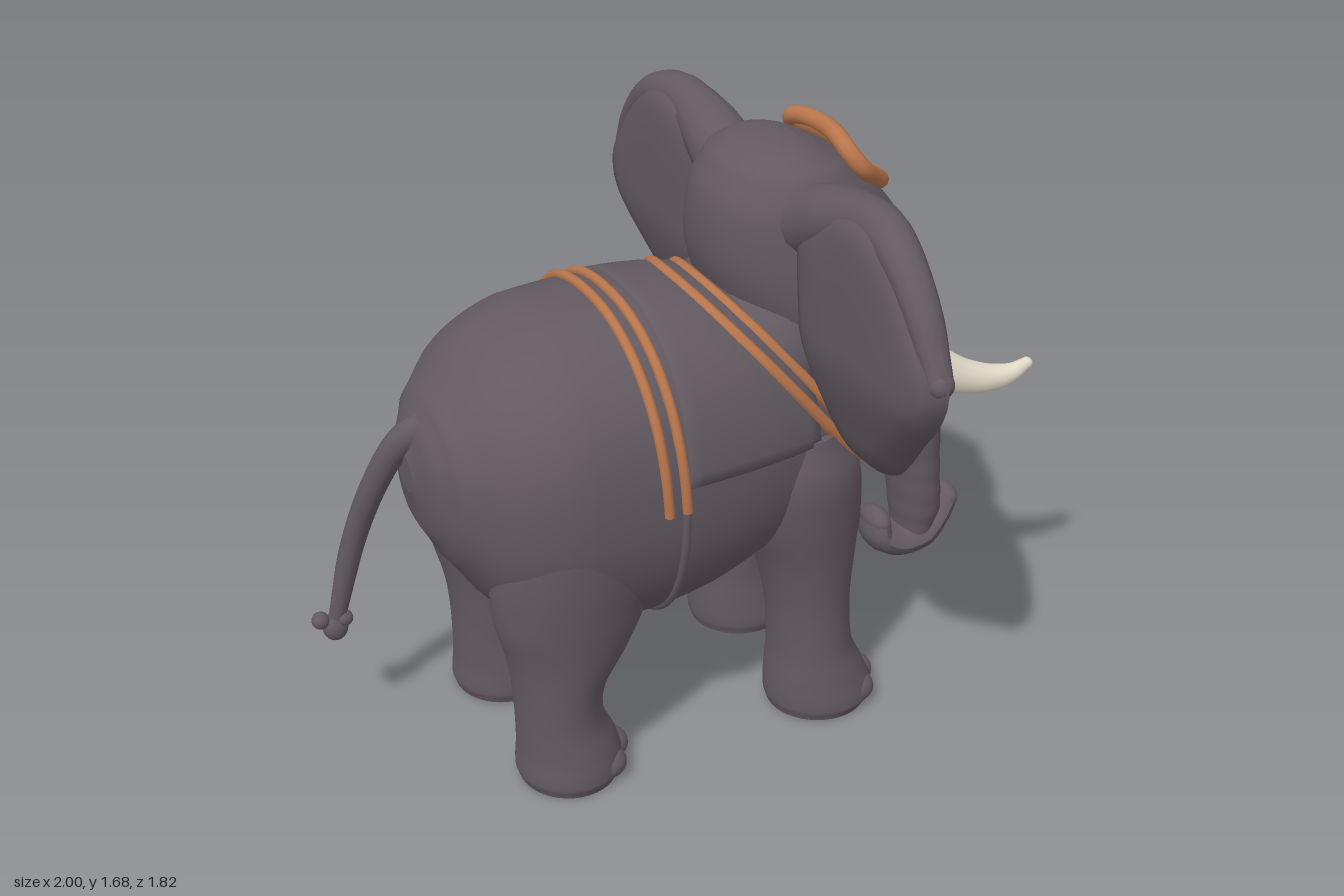
import * as THREE from 'three';

const V = (x, y, z) => new THREE.Vector3(x, y, z);
const mat = (name, color) => Object.assign(new THREE.MeshStandardMaterial({ color }), { name });

// Catmull-Rom resampling of rows of numbers
function resample(rows, steps) {
  const out = [];
  for (let i = 0; i < rows.length - 1; i++) {
    const [a, b, c, d] = [rows[Math.max(i - 1, 0)], rows[i], rows[i + 1], rows[Math.min(i + 2, rows.length - 1)]];
    for (let s = 0; s < steps; s++) {
      const t = s / steps;
      out.push(b.map((_, k) => k === 0 ? b[0] + (c[0] - b[0]) * t
        : b[k] + 0.5 * t * (c[k] - a[k] + t * (2 * a[k] - 5 * b[k] + 4 * c[k] - d[k] + t * (3 * (b[k] - c[k]) + d[k] - a[k])))));
    }
  }
  return [...out, rows[rows.length - 1]];
}

function gridGeometry(pos, rows, cols, wrap, flip) {
  const idx = [];
  for (let i = 0; i < rows - 1; i++) for (let j = 0; j < (wrap ? cols : cols - 1); j++) {
    const k = (j + 1) % cols;
    const [a, b, c, d] = [i * cols + j, (i + 1) * cols + j, i * cols + k, (i + 1) * cols + k];
    if (flip) idx.push(a, c, b, c, d, b); else idx.push(a, b, c, c, b, d);
  }
  const g = new THREE.BufferGeometry();
  g.setAttribute('position', new THREE.Float32BufferAttribute(pos, 3));
  g.setIndex(idx);
  g.computeVertexNormals();
  return g;
}

// Closed loft along x or y; rows are [position, uMin, uMax, vMin, vMax] with rising position
const POWER = 2.3;
function loft(axis, rows, { sides = 40, power = 2, ripple = 0 } = {}) {
  const body = resample(rows, 5).map(([t, a, b, c, d], i) => {
    const k = 1 + ripple * (i % 4 < 2 ? 1 : -1);
    return [t, (a + b) / 2, (b - a) / 2 * k, (c + d) / 2, (d - c) / 2 * k];
  });
  const first = body[0], last = body[body.length - 1], point = r => [r[0], r[1], 0, r[3], 0];
  const rings = [point(first), first, ...body, last, point(last)];
  const pos = [], bend = c => Math.sign(c) * Math.abs(c) ** (2 / power);
  for (const [t, cu, ru, cv, rv] of rings) for (let j = 0; j < sides; j++) {
    const a = j / sides * Math.PI * 2, u = cu + ru * bend(Math.cos(a)), v = cv + rv * bend(Math.sin(a));
    pos.push(...(axis === 'y' ? [u, t, v] : [t, u, -v]));
  }
  return gridGeometry(pos, rings.length, sides, true, false);
}

// Two-faced shell: rings run from the centre to the outline and back behind it
function shell(outline, centre, place, flip) {
  const pos = [], n = 8;
  for (let i = 0; i <= n * 2; i++) {
    const r = i <= n ? i / n : 2 - i / n;
    for (const p of outline) pos.push(...place(centre.clone().lerp(p, r), r, i <= n));
  }
  return gridGeometry(pos, n * 2 + 1, outline.length, true, flip);
}

// Tube whose radius follows a list, widened in z on request
function taperTube(points, radii, { segments = 40, sides = 14, wide = 1, closed = false } = {}) {
  const curve = new THREE.CatmullRomCurve3(points, closed);
  const g = new THREE.TubeGeometry(curve, segments, 1, sides, closed);
  const p = g.attributes.position, v = V();
  for (let i = 0; i < p.count; i++) {
    const t = Math.floor(i / (sides + 1)) / segments, c = curve.getPointAt(t);
    const f = t * (radii.length - 1), k = Math.max(Math.min(Math.floor(f), radii.length - 2), 0);
    v.fromBufferAttribute(p, i).sub(c).multiplyScalar(THREE.MathUtils.lerp(radii[k], radii[k + 1] ?? radii[k], f - k));
    p.setXYZ(i, c.x + v.x, c.y + v.y, c.z + v.z * wide);
  }
  if (wide !== 1) g.computeVertexNormals();
  return g;
}

const symmetric = rows => rows.map(([t, a, b, w]) => [t, a, b, -w, w]);
const BODY = symmetric([[-0.765, 0.85, 0.95, 0.05], [-0.74, 0.74, 1.03, 0.15], [-0.7, 0.66, 1.1, 0.235], [-0.6, 0.52, 1.2, 0.35],
  [-0.5, 0.45, 1.26, 0.405], [-0.4, 0.41, 1.295, 0.425], [-0.2, 0.39, 1.31, 0.425], [0, 0.42, 1.3, 0.41], [0.15, 0.48, 1.26, 0.385],
  [0.3, 0.55, 1.16, 0.345], [0.4, 0.62, 1.04, 0.305], [0.46, 0.69, 0.95, 0.23], [0.49, 0.77, 0.88, 0.1]]);
const BODY_FINE = resample(BODY, 5);

function insideBody({ x, y, z }) {
  const i = BODY_FINE.findIndex(r => r[0] > x);
  if (i < 1) return false;
  const p = BODY_FINE[i - 1], q = BODY_FINE[i], t = (x - p[0]) / (q[0] - p[0]);
  const [, a, b, , w] = p.map((n, k) => n + (q[k] - n) * t);
  return Math.abs((y - (a + b) / 2) / ((b - a) / 2)) ** POWER + Math.abs(z / w) ** POWER < 1;
}

// Point where a ray from within leaves the body
function onBody(origin, dir, offset) {
  let lo = 0, hi = 1;
  for (let i = 0; i < 22; i++) {
    const m = (lo + hi) / 2;
    if (insideBody(origin.clone().addScaledVector(dir, m))) lo = m; else hi = m;
  }
  return origin.clone().addScaledVector(dir, lo + offset);
}

export function createModel() {
  const model = new THREE.Group();
  model.name = 'elephant';
  const hide = mat('grey hide', 0x625961), trim = mat('copper trim', 0xb9764c), ivory = mat('ivory', 0xded7c6);
  const add = (name, geo, m = hide, parent = model) => {
    const mesh = new THREE.Mesh(geo, m);
    mesh.name = name;
    parent.add(mesh);
    return mesh;
  };
  const ball = (name, x, y, z, rx, ry = rx, rz = rx, m = hide) => {
    const s = add(name, new THREE.SphereGeometry(1, 24, 16), m);
    s.position.set(x, y, z);
    s.scale.set(rx, ry, rz);
  };

  add('body', loft('x', BODY, { sides: 56, power: POWER }));
  ball('neck', 0.24, 1.11, 0, 0.2, 0.23, 0.3);

  // Head and trunk
  add('head', loft('y', symmetric([[0.875, 0.52, 0.6, 0.04], [0.89, 0.46, 0.63, 0.11], [0.93, 0.38, 0.65, 0.2], [1.0, 0.3, 0.67, 0.265],
    [1.1, 0.2, 0.68, 0.3], [1.22, 0.13, 0.69, 0.312], [1.32, 0.09, 0.685, 0.305], [1.42, 0.08, 0.645, 0.285], [1.52, 0.095, 0.565, 0.258],
    [1.6, 0.14, 0.475, 0.215], [1.64, 0.19, 0.4, 0.15], [1.655, 0.23, 0.355, 0.09], [1.66, 0.27, 0.32, 0.03]]), { power: 2.15 }));
  add('trunk', loft('y', symmetric([[0.32, 0.76, 0.87, 0.08], [0.4, 0.75, 0.892, 0.098], [0.5, 0.738, 0.882, 0.105], [0.6, 0.725, 0.873, 0.109],
    [0.75, 0.695, 0.866, 0.115], [0.9, 0.66, 0.855, 0.128], [1.0, 0.61, 0.835, 0.137], [1.15, 0.55, 0.785, 0.155], [1.3, 0.5, 0.722, 0.155],
    [1.42, 0.45, 0.645, 0.13], [1.5, 0.4, 0.56, 0.06]]), { ripple: 0.008 }));
  add('trunkTip', taperTube([V(0.69, 0.37, 0), V(0.695, 0.32, 0), V(0.75, 0.292, 0), V(0.83, 0.305, 0), V(0.89, 0.355, 0), V(0.925, 0.4, 0)],
    [0.037, 0.046, 0.052, 0.053, 0.046, 0.037], { wide: 1.75 }));
  ball('trunkTipEnd', 0.69, 0.37, 0, 0.037, 0.037, 0.065);
  ball('trunkTipEnd', 0.925, 0.4, 0, 0.037, 0.037, 0.065);

  // Legs: rows are y, xMin, xMax, zInner, zOuter
  const legs = {
    FrontLeg: [[0, 0.21, 0.5, 0.1, 0.385], [0.03, 0.2, 0.52, 0.09, 0.395], [0.1, 0.2, 0.495, 0.095, 0.385], [0.2, 0.208, 0.45, 0.105, 0.368],
      [0.35, 0.2, 0.44, 0.1, 0.36], [0.5, 0.165, 0.45, 0.085, 0.37], [0.65, 0.11, 0.46, 0.07, 0.39], [0.8, 0.1, 0.44, 0.08, 0.4], [0.92, 0.16, 0.36, 0.15, 0.37]],
    HindLeg: [[0, -0.57, -0.3, 0.1, 0.385], [0.03, -0.58, -0.285, 0.09, 0.395], [0.1, -0.575, -0.295, 0.095, 0.385], [0.2, -0.575, -0.335, 0.105, 0.37],
      [0.3, -0.58, -0.325, 0.1, 0.37], [0.4, -0.595, -0.26, 0.085, 0.38], [0.52, -0.625, -0.2, 0.07, 0.395], [0.68, -0.63, -0.18, 0.06, 0.412],
      [0.85, -0.6, -0.2, 0.06, 0.412], [1.05, -0.5, -0.28, 0.1, 0.36]],
  };

  const earOutline = new THREE.CatmullRomCurve3([[0.24, 1.55], [0.35, 1.6], [0.45, 1.635], [0.55, 1.645], [0.66, 1.615], [0.76, 1.53], [0.85, 1.42], [0.905, 1.33],
    [0.905, 1.27], [0.87, 1.2], [0.78, 1.1], [0.68, 0.99], [0.6, 0.915], [0.5, 0.88], [0.42, 0.885], [0.35, 0.93], [0.29, 1.05], [0.24, 1.3]].map(([z, y]) => V(0, y, z)), true)
    .getSpacedPoints(72).slice(0, -1);

  for (const side of [1, -1]) {
    const label = side > 0 ? 'right' : 'left';
    const S = list => list.map(([x, y, z]) => V(x, y, z * side));
    for (const [name, rows] of Object.entries(legs)) {
      add(label + name, loft('y', rows.map(([y, a, b, c, d]) => side > 0 ? [y, a, b, c, d] : [y, a, b, -d, -c])));
      const cx = (rows[1][1] + rows[1][2]) / 2;
      for (const a of [-0.85, 0, 0.85])
        ball(label + name + 'Toe', cx + 0.115 * Math.cos(a), 0.045, side * 0.243 + 0.1 * Math.sin(a), 0.06, 0.044, 0.06);
    }

    // Ear sheet, dished in front and swept forward at its foot, with a rolled upper rim
    add(label + 'Ear', shell(earOutline, V(0, 1.27, 0.52), (p, r, front) => {
      const lower = 0.075 * THREE.MathUtils.smoothstep(1.25 - p.y, 0, 0.36), blunt = 0.045 * Math.sqrt(1 - r ** 10);
      return [lower + 0.26 + 0.02 * r ** 4 + (front ? blunt : -blunt), p.y, p.z * side];
    }, side < 0));
    add(label + 'EarRim', taperTube(S([[0.3, 1.49, 0.22], [0.305, 1.54, 0.34], [0.305, 1.58, 0.46], [0.3, 1.59, 0.56], [0.285, 1.56, 0.67],
      [0.28, 1.475, 0.77], [0.28, 1.32, 0.87]]), [0.1, 0.09, 0.068, 0.06, 0.052, 0.046, 0.034], { wide: 0.8 }));
    ball(label + 'EarRimEnd', 0.28, 1.32, side * 0.87, 0.034);

    // Eye, cheek and tusk
    ball(label + 'Eye', 0.575, 1.28, side * 0.235, 0.045, 0.05, 0.04);
    const lid = add(label + 'Eyelid', new THREE.TorusGeometry(0.047, 0.013, 8, 28));
    lid.position.set(0.583, 1.28, side * 0.24);
    lid.rotation.y = side > 0 ? 0.7 : Math.PI - 0.7;
    add(label + 'Cheek', taperTube(S([[0.48, 1.14, 0.16], [0.58, 1.09, 0.185], [0.66, 1.045, 0.205]]), [0.1, 0.095, 0.083]));
    ball(label + 'CheekEnd', 0.66, 1.045, side * 0.205, 0.083);
    add(label + 'Tusk', taperTube(S([[0.63, 1.03, 0.215], [0.7, 0.985, 0.23], [0.78, 0.943, 0.243], [0.87, 0.922, 0.257], [0.94, 0.927, 0.267], [0.983, 0.95, 0.275]]),
      [0.06, 0.062, 0.054, 0.045, 0.034, 0.018]), ivory);
    ball(label + 'TuskTip', 0.983, 0.95, side * 0.275, 0.018, 0.018, 0.018, ivory);
  }

  // Tail
  add('tail', taperTube([V(-0.7, 1.03, 0), V(-0.76, 0.98, -0.03), V(-0.82, 0.84, -0.09), V(-0.875, 0.63, -0.16), V(-0.93, 0.37, -0.2)],
    [0.042, 0.037, 0.034, 0.031, 0.023]));
  ball('tailTuft', -0.935, 0.35, -0.2, 0.036, 0.042, 0.034);
  ball('tailTuft', -0.975, 0.38, -0.2, 0.025);
  ball('tailTuft', -0.91, 0.38, -0.185, 0.023);

  // Girth straps: two copper bands over the back, one plain band below
  const strap = (x, a, b, offset) => Array.from({ length: 33 }, (_, i) => {
    const t = a + (b - a) * i / 32, c = Math.cos(t);
    return onBody(V(x, 0.85, 0), V(-0.065 * Math.max(c, 0), c, Math.sin(t)), offset);
  });
  for (const x of [-0.212, -0.16]) add('backStrap', taperTube(strap(x, -1.57, 1.57, 0.004), [0.014], { segments: 80, sides: 8 }), trim);
  add('bellyStrap', taperTube(strap(-0.16, 1.57, 4.71, 0), [0.012], { segments: 60, sides: 8 }));

  // Cloth lying over the back, with its border tucked in
  const cloth = [], NX = 14, NA = 41;
  for (let i = 0; i < NX; i++) for (let j = 0; j < NA; j++) {
    const edge = i === 0 || j === 0 || i === NX - 1 || j === NA - 1;
    const x = -0.15 + 0.42 * (Math.min(Math.max(i, 1), NX - 2) - 1) / (NX - 3);
    const t = 1.44 * (2 * (Math.min(Math.max(j, 1), NA - 2) - 1) / (NA - 3) - 1);
    cloth.push(...onBody(V(x, 0.86, 0), V(0, Math.cos(t), Math.sin(t)), edge ? -0.02 : 0.01));
  }
  add('backCloth', gridGeometry(cloth, NX, NA, false, true));

  // Collar bands and chest medallion
  for (const shift of [-0.015, 0.03]) {
    const band = Array.from({ length: 48 }, (_, i) => {
      const a = i / 48 * Math.PI * 2, c = Math.cos(a);
      return onBody(V(0.25 + 0.77 * shift, 1.03 + 0.64 * shift, 0), V(-0.64 * c, 0.77 * c, Math.sin(a)), 0.008);
    });
    add('collarBand', taperTube(band, [0.017], { segments: 110, sides: 8, closed: true }), trim);
  }
  const medallion = new THREE.Group();
  medallion.name = 'medallion';
  medallion.position.set(0.495, 0.735, 0);
  medallion.rotation.set(0, Math.PI / 2, 0.12, 'ZYX');
  medallion.scale.y = 1.2;
  add('medallionRim', new THREE.TorusGeometry(0.078, 0.022, 12, 40), trim, medallion);
  add('medallionDisc', new THREE.CylinderGeometry(0.078, 0.078, 0.014, 36), trim, medallion).rotation.x = Math.PI / 2;
  model.add(medallion);

  // Forehead shield, curved around the head
  const shieldLine = new THREE.CatmullRomCurve3([[0, 0.108], [0.09, 0.112], [0.15, 0.1], [0.172, 0.05], [0.14, -0.02], [0.09, -0.085], [0, -0.12],
    [-0.09, -0.085], [-0.14, -0.02], [-0.172, 0.05], [-0.15, 0.1], [-0.09, 0.112]].map(([x, y]) => V(x, y, -1.1 * x * x)), true);
  const shield = new THREE.Group();
  shield.name = 'foreheadShield';
  shield.position.set(0.53, 1.575, 0);
  shield.rotation.set(0, Math.PI / 2, 0.76, 'ZYX');
  add('shieldPlate', shell(shieldLine.getSpacedPoints(48).slice(0, -1), V(0, 0, 0),
    (p, r, front) => [p.x, p.y, -1.1 * p.x * p.x + (front ? 0.006 : -0.03) * (1 - r ** 8)], true), trim, shield);
  add('shieldRim', taperTube(shieldLine.points, [0.025], { segments: 72, sides: 10, closed: true }), trim, shield);
  model.add(shield);

  return model;
}
